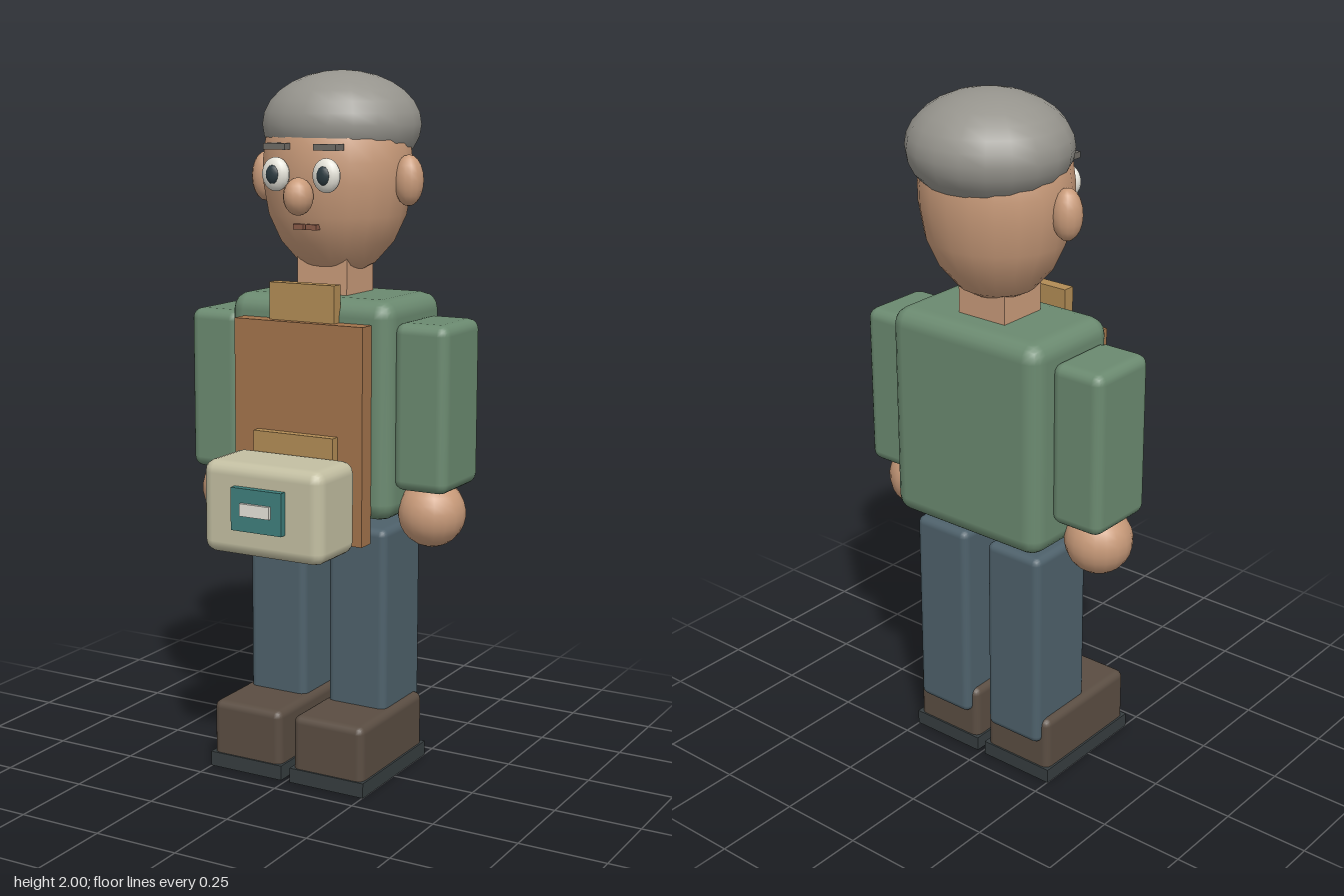
import * as THREE from 'three';
import { RoundedBoxGeometry } from 'three/addons/geometries/RoundedBoxGeometry.js';

const material = (color) => new THREE.MeshStandardMaterial({ color });
const M = {
  skin: material(0xc99b7a), hair: material(0x96948d), green: material(0x6b8a70),
  denim: material(0x4e616b), boot: material(0x5a4d42), sole: material(0x363d3f),
  apron: material(0xa3744c), tan: material(0xb28c55), pouch: material(0xc3bfa2),
  teal: material(0x3f7f7c), white: material(0xe6e4da), dark: material(0x2b3a40),
  brow: material(0x6f6c66), lip: material(0x8a5a48),
};

export function createModel() {
  const model = new THREE.Group();
  model.name = 'craftsman';

  const add = (name, geometry, mat) => {
    const mesh = new THREE.Mesh(geometry, mat);
    mesh.name = name;
    model.add(mesh);
    return mesh;
  };

  // Box given by its extents on each axis; a bevel radius rounds the edges
  const box = (name, mat, [x0, x1], [y0, y1], [z0, z1], bevel = 0) => {
    const size = [x1 - x0, y1 - y0, z1 - z0];
    const geometry = bevel
      ? new RoundedBoxGeometry(...size, 2, bevel)
      : new THREE.BoxGeometry(...size);
    const mesh = add(name, geometry, mat);
    mesh.position.set((x0 + x1) / 2, (y0 + y1) / 2, (z0 + z1) / 2);
    return mesh;
  };

  const ball = (name, mat, center, radii, segments = 18) => {
    const geometry = new THREE.SphereGeometry(1, segments, Math.round(segments * 0.7));
    geometry.scale(...radii);
    const mesh = add(name, geometry, mat);
    mesh.position.set(...center);
    return mesh;
  };

  // Egg-shaped head with a narrow, flattened chin
  const profile = [
    [0, 1.435], [0.06, 1.437], [0.11, 1.463], [0.165, 1.525], [0.2, 1.6], [0.216, 1.69],
    [0.217, 1.75], [0.209, 1.81], [0.185, 1.87], [0.12, 1.93], [0, 1.955],
  ].map(([r, y]) => new THREE.Vector2(r, y));
  const head = add('head', new THREE.LatheGeometry(profile, 20), M.skin);
  head.scale.z = 0.92;
  head.position.z = -0.11;
  ball('hair', M.hair, [0, 1.85, -0.135], [0.228, 0.15, 0.22], 20);
  ball('nose', M.skin, [0, 1.66, 0.11], [0.041, 0.052, 0.046], 14);
  box('neck', M.skin, [-0.08, 0.08], [1.34, 1.5], [-0.175, -0.02]);

  // Torso and apron
  box('torso', M.green, [-0.26, 0.26], [0.76, 1.38], [-0.268, 0.065], 0.05);
  box('apron', M.apron, [-0.205, 0.205], [0.7, 1.315], [0.064, 0.117]);
  box('apronStrap', M.tan, [-0.103, 0.103], [1.3, 1.42], [0.058, 0.094]);

  // Belt pouch with its buckle
  box('pouchFlap', M.tan, [-0.128, 0.128], [0.93, 1.005], [0.11, 0.144]);
  box('pouch', M.pouch, [-0.19, 0.19], [0.685, 0.947], [0.115, 0.32], 0.035);
  box('buckle', M.teal, [-0.08, 0.08], [0.765, 0.885], [0.3, 0.341]);
  box('buckleBar', M.white, [-0.047, 0.047], [0.81, 0.845], [0.33, 0.351]);

  // Mirrored parts
  for (const [side, s] of [['left', 1], ['right', -1]]) {
    const span = (a, b) => (s > 0 ? [a, b] : [-b, -a]);

    ball(side + 'Ear', M.skin, [s * 0.23, 1.7, -0.1], [0.042, 0.071, 0.042], 14);
    ball(side + 'Eye', M.white, [s * 0.08, 1.718, 0.095], [0.042, 0.047, 0.024], 16);
    ball(side + 'Pupil', M.dark, [s * 0.08, 1.718, 0.113], [0.021, 0.026, 0.011], 12);
    box(side + 'Eyebrow', M.brow, span(0.045, 0.114), [1.785, 1.802], [0.06, 0.106]);
    box(side + 'Lip', M.lip, span(0.004, 0.037), [1.567, 1.582], [0.04, 0.077]);

    box(side + 'Sleeve', M.green, span(0.25, 0.415), [0.85, 1.32], [-0.195, 0.03], 0.03);
    ball(side + 'Hand', M.skin, [s * 0.328, 0.778, -0.07], [0.097, 0.098, 0.095]);

    box(side + 'Leg', M.denim, span(0.038, 0.225), [0.125, 0.728], [-0.212, 0.015], 0.022);
    box(side + 'Boot', M.boot, span(0.02, 0.246), [0.02, 0.2], [-0.19, 0.185], 0.022);
    box(side + 'Sole', M.sole, span(0.014, 0.252), [0, 0.043], [-0.195, 0.19]);
  }

  return model;
}
